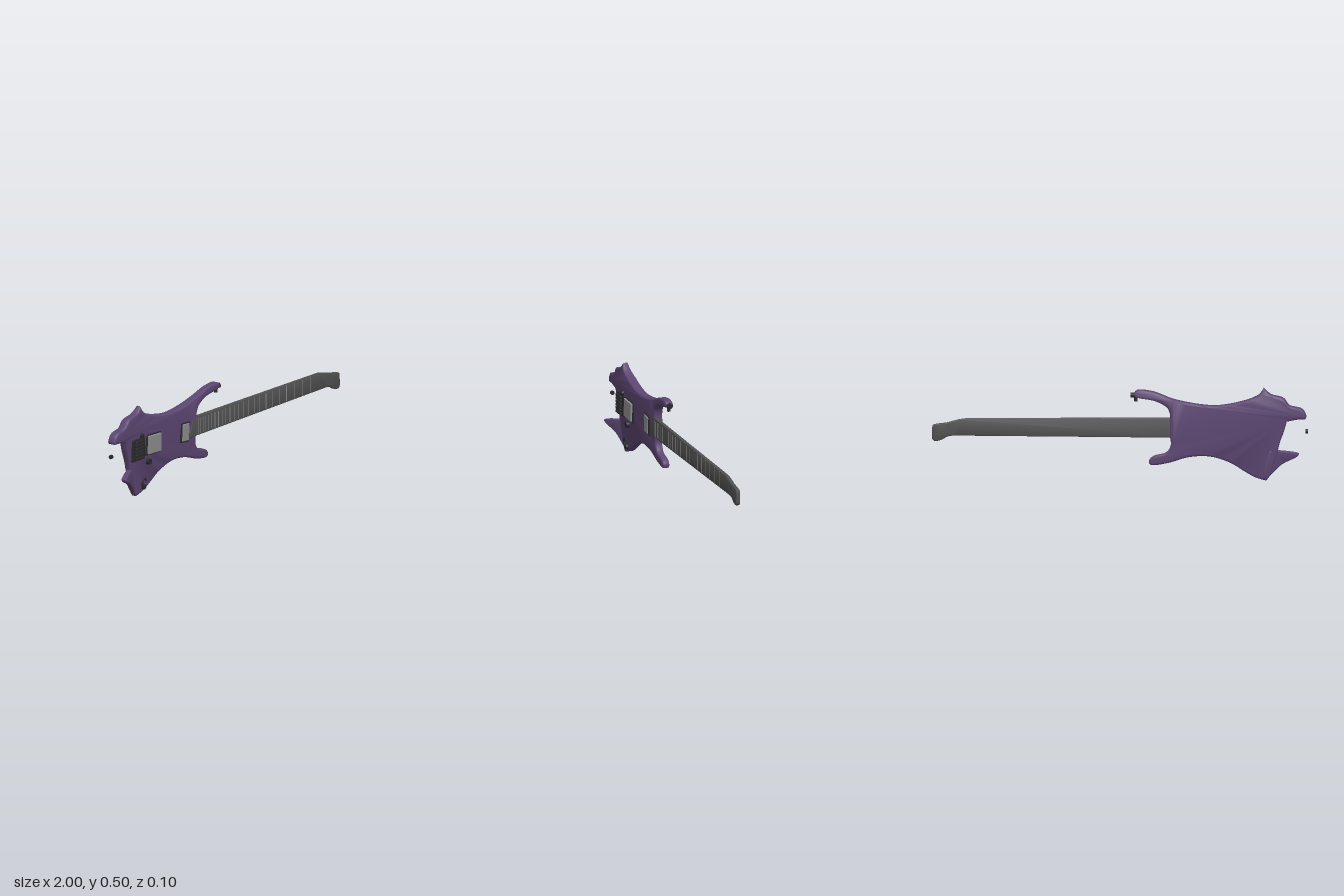
import * as THREE from 'three';
import { toCreasedNormals } from 'three/addons/utils/BufferGeometryUtils.js';
import { RoundedBoxGeometry } from 'three/addons/geometries/RoundedBoxGeometry.js';

const mat = (color) => new THREE.MeshStandardMaterial({ color });
const purple = mat(0x5c4672), dark = mat(0x2a2a2e), grey = mat(0x8c8c8c), neckGrey = mat(0x505050);
const BACK = -0.044;

// Outline made of smooth runs that meet in sharp corners
function outline(runs) {
  const pts = [];
  for (const run of runs) {
    const v = run.map(([x, y]) => new THREE.Vector2(x, y));
    const p = v.length > 2 ? new THREE.SplineCurve(v).getPoints((v.length - 1) * 4) : v;
    pts.push(...p.slice(0, -1));
  }
  return new THREE.Shape(pts);
}

// Bevelled slab whose points are then moved by a rule; t runs 0 (back) to 1 (front)
function slab(shape, bevel, zRule) {
  const g = new THREE.ExtrudeGeometry(shape, {
    depth: 1, bevelEnabled: true, bevelThickness: 0.25, bevelSize: bevel, bevelOffset: -bevel, bevelSegments: 3,
  });
  const p = g.attributes.position;
  for (let i = 0; i < p.count; i++) {
    p.setZ(i, zRule(p.getX(i), p.getY(i), (p.getZ(i) + 0.25) / 1.5));
  }
  return toCreasedNormals(g, 0.7);
}

const bodyFront = (y) => 0.001 + 0.045 * (y - 0.25);

export function createModel() {
  const model = new THREE.Group();
  const add = (name, geo, material, x = 0, y = 0, z = 0, parent = model) => {
    const m = new THREE.Mesh(geo, material);
    m.name = name;
    m.position.set(x, y, z);
    parent.add(m);
    return m;
  };

  // Body with two horns and a hooked upper wing
  const body = outline([
    [[-0.885, 0.32], [-0.945, 0.332], [-0.985, 0.335], [-0.985, 0.36], [-0.96, 0.39], [-0.9, 0.405], [-0.865, 0.445], [-0.8, 0.463], [-0.762, 0.498]],
    [[-0.762, 0.498], [-0.735, 0.46], [-0.66, 0.428], [-0.53, 0.402], [-0.42, 0.406], [-0.285, 0.432], [-0.18, 0.47],
      [-0.1, 0.48], [-0.075, 0.463], [-0.09, 0.44], [-0.18, 0.425], [-0.245, 0.393], [-0.265, 0.355], [-0.265, 0.32]],
    [[-0.265, 0.32], [-0.265, 0.235]],
    [[-0.265, 0.235], [-0.27, 0.19], [-0.245, 0.147], [-0.18, 0.128], [-0.155, 0.105], [-0.17, 0.08], [-0.26, 0.094],
      [-0.365, 0.125], [-0.475, 0.13], [-0.58, 0.1], [-0.66, 0.053], [-0.715, 0.022], [-0.778, 0.003]],
    [[-0.778, 0.003], [-0.8, 0.035]],
    [[-0.8, 0.035], [-0.838, 0.163]],
    [[-0.838, 0.163], [-0.85, 0.21], [-0.87, 0.265], [-0.885, 0.32]],
  ]);
  add('body', slab(body, 0.012, (x, y, t) => {
    const front = bodyFront(y) - Math.max(0, y - 0.47) * 0.3;
    const back = BACK + Math.max(0, y - 0.43) * 0.3;
    return back + t * (front - back);
  }), purple);

  // Lower wing, bent forward away from the body
  const wing = outline([
    [[-0.81, 0.166], [-0.85, 0.161], [-0.905, 0.152], [-0.945, 0.14], [-0.93, 0.12], [-0.86, 0.088], [-0.805, 0.037], [-0.775, 0.006]],
    [[-0.775, 0.006], [-0.76, 0.04], [-0.79, 0.15], [-0.81, 0.166]],
  ]);
  add('lowerWing', slab(wing, 0.006, (x, y, t) => {
    const bend = 0.42 * (-0.79 - 0.23 * y - x);
    return bodyFront(y) + bend - (1 - t) * 0.033;
  }), purple);

  // Neck and headstock, leaning slightly back
  const neckTop = (x) => 0.006 - 0.011 * (x + 0.33);
  const neck = outline([
    [[-0.335, 0.225], [0.85, 0.227]],
    [[0.85, 0.227], [0.91, 0.224], [0.95, 0.203], [0.985, 0.197], [1, 0.21]],
    [[1, 0.21], [0.998, 0.27], [0.985, 0.286], [0.92, 0.296], [0.87, 0.31], [0.82, 0.319]],
    [[0.82, 0.319], [-0.3, 0.332]],
    [[-0.3, 0.332], [-0.335, 0.225]],
  ]);
  add('neck', slab(neck, 0.007, (x, y, t) => neckTop(x) - (1 - t) * 0.022), neckGrey);

  // Frets, closer together up the neck
  const frets = new THREE.Group();
  frets.name = 'frets';
  model.add(frets);
  for (let i = 1; i <= 24; i++) {
    const x = 0.82 - 1.44 * (1 - Math.pow(2, -i / 12));
    add('fret', new THREE.BoxGeometry(0.004, 0.085, 0.002), grey, x, 0.276, neckTop(x), frets);
  }

  // Pickups on low mounting rings
  const pickup = (name, x, y, w, h, top, tilt) => {
    const g = new THREE.Group();
    g.name = name;
    g.position.set(x, y, 0);
    g.rotation.z = tilt;
    model.add(g);
    add('ring', new RoundedBoxGeometry(w + 0.014, h + 0.014, 0.016, 2, 0.004), dark, 0, 0, 0.002, g);
    add('cover', new RoundedBoxGeometry(w, h, top + 0.005, 2, 0.004), grey, 0, 0, (top - 0.005) / 2, g);
  };
  pickup('bridgePickup', -0.652, 0.27, 0.11, 0.1, 0.02, -0.04);
  pickup('neckPickup', -0.375, 0.268, 0.058, 0.095, 0.014, -0.06);

  // Bridge plate with a row of saddles
  const bridge = new THREE.Group();
  bridge.name = 'bridge';
  bridge.position.set(-0.785, 0.265, 0);
  model.add(bridge);
  add('plate', new RoundedBoxGeometry(0.105, 0.12, 0.02, 2, 0.005), dark, 0, 0, 0.002, bridge);
  for (let i = 0; i < 6; i++) {
    add('saddle', new RoundedBoxGeometry(0.075, 0.013, 0.014, 1, 0.003), dark, -0.004, (i - 2.5) * 0.018, 0.018, bridge);
  }

  // Knobs
  const knob = (name, x, y, r, h) => {
    const m = add(name, new THREE.CylinderGeometry(r * 0.85, r, h, 20), dark, x, y, bodyFront(y) + h / 2 - 0.003);
    m.rotation.x = Math.PI / 2;
  };
  knob('upperKnob', -0.755, 0.335, 0.014, 0.015);
  knob('volumeKnob', -0.69, 0.178, 0.018, 0.02);
  knob('toneKnob', -0.725, 0.045, 0.015, 0.016);
  const arm = new THREE.CatmullRomCurve3([
    new THREE.Vector3(-0.735, 0.04, 0), new THREE.Vector3(-0.745, 0.07, 0.004),
    new THREE.Vector3(-0.73, 0.095, 0.004), new THREE.Vector3(-0.712, 0.08, 0.002),
  ]);
  add('leverArm', new THREE.TubeGeometry(arm, 16, 0.005, 8), dark);

  // Strap buttons
  add('hornStrapButton', new THREE.CylinderGeometry(0.009, 0.009, 0.034, 14), dark, -0.083, 0.436, -0.012);
  const tip = add('hornStrapCap', new THREE.CylinderGeometry(0.014, 0.014, 0.024, 14), dark, -0.068, 0.452, -0.012);
  tip.rotation.z = Math.PI / 2;
  const tail = add('tailStrapButton', new THREE.CylinderGeometry(0.011, 0.011, 0.014, 14), dark, -0.991, 0.267, -0.018);
  tail.rotation.z = Math.PI / 2;

  return model;
}
